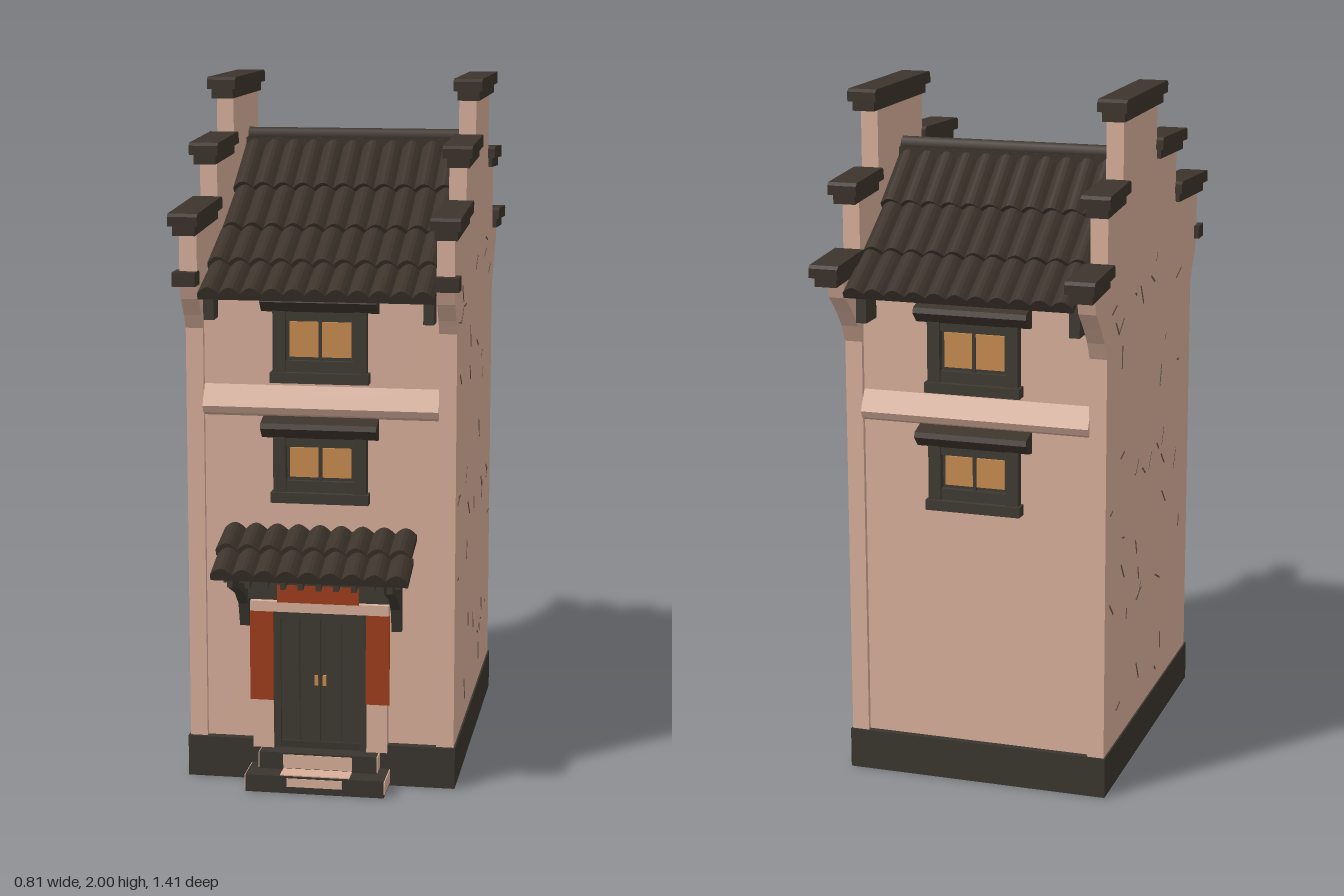
import * as THREE from 'three';

const mat = (name, color, side = THREE.FrontSide) => {
  const m = new THREE.MeshStandardMaterial({ color, side });
  m.name = name;
  return m;
};

export function createModel() {
  const plaster = mat('plaster', 0xd9b09c);
  const tile = mat('roofTile', 0x3d342c);
  const stone = mat('darkStone', 0x3a352e);
  const wood = mat('darkWood', 0x3f3b33);
  const glow = mat('paperPane', 0xc98c50);
  const red = mat('redPaint', 0xa03e1c);
  const crackTone = mat('crack', 0x6e5a4e);

  const house = new THREE.Group();
  house.name = 'townhouse';

  const add = (parent, name, geo, material) => {
    const m = new THREE.Mesh(geo, material);
    m.name = name;
    parent.add(m);
    return m;
  };
  // box given by its extents
  const box = (parent, name, material, x0, x1, y0, y1, z0, z1) => {
    const m = add(parent, name, new THREE.BoxGeometry(x1 - x0, y1 - y0, z1 - z0), material);
    m.position.set((x0 + x1) / 2, (y0 + y1) / 2, (z0 + z1) / 2);
    return m;
  };
  // side profile of [z, y] points, extruded across x from x0 to x1
  const profile = (parent, name, material, pts, x0, x1) => {
    const shape = new THREE.Shape(pts.map(p => new THREE.Vector2(p[0], p[1])));
    const geo = new THREE.ExtrudeGeometry(shape, { depth: x1 - x0, bevelEnabled: false });
    geo.rotateY(-Math.PI / 2).translate(x1, 0, 0);
    return add(parent, name, geo, material);
  };

  // Base and main body
  box(house, 'base', stone, -0.39, 0.39, 0, 0.12, -0.5, 0.49);
  profile(house, 'body', plaster, [
    [-0.48, 0.1], [0.465, 0.1], [0.465, 1.44], [0.25, 1.53], [0.05, 1.63],
    [-0.16, 1.76], [-0.32, 1.63], [-0.48, 1.5],
  ], -0.34, 0.34);

  // Stepped side walls with flared ends
  const wallPts = [
    [0.48, 0.11], [0.48, 1.32], [0.5, 1.36], [0.535, 1.41], [0.55, 1.45], [0.55, 1.61],
    [0.27, 1.61], [0.27, 1.78], [0.03, 1.78], [0.03, 1.95], [-0.34, 1.95], [-0.34, 1.72],
    [-0.495, 1.72], [-0.495, 1.52], [-0.63, 1.51], [-0.61, 1.45], [-0.56, 1.4],
    [-0.52, 1.35], [-0.495, 1.3], [-0.495, 0.11],
  ];
  // caps: z from, z to, height of the underside, tilt
  const caps = [
    [0.26, 0.6, 1.6, 0.05], [0.02, 0.32, 1.77, 0.04], [-0.39, 0.07, 1.937, 0],
    [-0.55, -0.33, 1.705, -0.06], [-0.7, -0.49, 1.5, -0.06],
  ];
  for (const s of [-1, 1]) {
    const side = new THREE.Group();
    side.name = s > 0 ? 'leftWall' : 'rightWall';
    house.add(side);
    const span = (a, b) => (s > 0 ? [a, b] : [-b, -a]);
    profile(side, 'steppedWall', plaster, wallPts, ...span(0.335, 0.385));
    caps.forEach(([z0, z1, y, tilt]) => {
      const cap = new THREE.Group();
      cap.name = 'wallCap';
      cap.position.set(s * 0.364, y, (z0 + z1) / 2);
      cap.rotation.x = tilt;
      side.add(cap);
      const h = (z1 - z0) / 2;
      box(cap, 'capCourse', tile, -0.032, 0.032, 0, 0.03, -h + 0.015, h - 0.015);
      profile(cap, 'capTop', tile, [
        [-h, 0.028], [h, 0.028], [h, 0.055], [h - 0.01, 0.063], [-h + 0.01, 0.063], [-h, 0.055],
      ], -0.042, 0.042);
    });
    box(side, 'frontCornice', tile, ...span(0.335, 0.4), 1.45, 1.49, 0.52, 0.58);
    box(side, 'eaveBracket', wood, ...span(0.295, 0.325), 1.35, 1.44, 0.46, 0.52);
    box(side, 'rearEaveBracket', wood, ...span(0.295, 0.325), 1.37, 1.46, -0.56, -0.47);
  }

  // One course of wavy tiles, running from [z, y] a down to b
  const course = (parent, a, b, half, cols, phase) => {
    const n = cols * 6;
    const shape = new THREE.Shape();
    shape.moveTo(-half, -0.012);
    shape.lineTo(half, -0.012);
    for (let i = n; i >= 0; i--) {
      const wave = Math.abs(Math.sin((i / n) * cols * Math.PI));
      shape.lineTo(-half + (2 * half * i) / n, 0.006 + 0.02 * wave);
    }
    shape.closePath();
    const dz = b[0] - a[0], dy = a[1] - b[1] - 0.012;
    const geo = new THREE.ExtrudeGeometry(shape, {
      depth: Math.hypot(dz, dy) + 0.012, bevelEnabled: false,
    });
    const m = add(parent, 'tileCourse', geo, tile);
    m.position.set(phase, a[1], a[0]);
    m.rotation.x = Math.atan2(dy, dz);
  };
  const slope = (name, pts, half, cols) => {
    const g = new THREE.Group();
    g.name = name;
    house.add(g);
    for (let i = 0; i + 1 < pts.length; i++) {
      course(g, pts[i], pts[i + 1], half, cols, (i % 2 ? 1 : -1) * 0.003);
    }
    return g;
  };
  slope('frontRoof', [[-0.16, 1.79], [0.04, 1.665], [0.23, 1.565], [0.41, 1.485], [0.575, 1.42]], 0.33, 11);
  slope('backRoof', [[0.16, 1.79], [0.32, 1.66], [0.48, 1.55], [0.625, 1.46]], 0.33, 11).rotation.y = Math.PI;
  box(house, 'ridgeBase', tile, -0.33, 0.33, 1.76, 1.81, -0.185, -0.135);
  const ridge = add(house, 'ridgeRoll', new THREE.CylinderGeometry(0.024, 0.024, 0.65, 8), tile);
  ridge.rotation.z = Math.PI / 2;
  ridge.position.set(0, 1.815, -0.16);

  // Windows and plaster ledge, on both the front and the back
  const windowUnit = (parent, y, height) => {
    const w = new THREE.Group();
    w.name = 'window';
    w.position.y = y;
    parent.add(w);
    box(w, 'backing', wood, -0.11, 0.11, 0.02, height, 0, 0.008);
    for (const s of [-1, 1]) {
      box(w, 'jamb', wood, s * 0.115 - 0.018, s * 0.115 + 0.018, 0, height, 0, 0.032);
      box(w, 'pane', glow, s * 0.046 - 0.042, s * 0.046 + 0.042, 0.06, height - 0.04, 0.007, 0.014);
    }
    box(w, 'mullion', wood, -0.005, 0.005, 0.03, height - 0.02, 0, 0.018);
    box(w, 'lowerRail', wood, -0.1, 0.1, 0.015, 0.05, 0, 0.024);
    box(w, 'upperRail', wood, -0.1, 0.1, height - 0.035, height, 0, 0.024);
    box(w, 'sill', wood, -0.14, 0.14, -0.012, 0.018, 0, 0.04);
    profile(w, 'hood', tile, [
      [0, height - 0.015], [0.03, height - 0.01], [0.06, height + 0.02],
      [0.055, height + 0.035], [0, height + 0.05],
    ], -0.165, 0.165);
  };
  for (const s of [1, -1]) {
    const face = new THREE.Group();
    face.name = s > 0 ? 'frontFacade' : 'backFacade';
    face.position.z = s > 0 ? 0.465 : -0.48;
    face.rotation.y = s > 0 ? 0 : Math.PI;
    house.add(face);
    windowUnit(face, 1.185, 0.2);
    windowUnit(face, 0.84, 0.185);
    profile(face, 'ledge', plaster, [[0, 1.07], [0.02, 1.08], [0.03, 1.1], [0, 1.16]], -0.336, 0.336);
  }

  // Entrance: door, posts, lintel and steps
  const entry = new THREE.Group();
  entry.name = 'entrance';
  house.add(entry);
  for (let i = 0; i < 4; i++) {
    const x = -0.12 + i * 0.06;
    box(entry, 'doorPlank', wood, x + 0.002, x + 0.058, 0.1, 0.5, 0.46, 0.482 + (i % 2) * 0.004);
  }
  box(entry, 'doorBacking', stone, -0.13, 0.13, 0.1, 0.51, 0.46, 0.476);
  for (const s of [-1, 1]) {
    box(entry, 'doorHandle', glow, s * 0.012 - 0.005, s * 0.012 + 0.005, 0.29, 0.32, 0.48, 0.493);
    box(entry, 'doorJamb', wood, s * 0.125 - 0.01, s * 0.125 + 0.01, 0.1, 0.51, 0.46, 0.495);
    box(entry, 'post', plaster, s * 0.165 - 0.03, s * 0.165 + 0.03, 0.1, 0.52, 0.46, 0.5);
    box(entry, 'redPanel', red, s * 0.168 - 0.034, s * 0.168 + 0.034, 0.245, 0.51, 0.497, 0.506);
    profile(entry, 'awningBracket', wood, [
      [0.46, 0.46], [0.49, 0.46], [0.51, 0.53], [0.56, 0.575], [0.64, 0.61], [0.66, 0.65], [0.46, 0.69],
    ], s * 0.22 - 0.014, s * 0.22 + 0.014);
  }
  box(entry, 'doorHead', wood, -0.13, 0.13, 0.49, 0.51, 0.46, 0.5);
  box(entry, 'lintel', plaster, -0.2, 0.2, 0.51, 0.54, 0.46, 0.51);
  box(entry, 'beam', wood, -0.22, 0.22, 0.545, 0.6, 0.46, 0.51);
  box(entry, 'redPlaque', red, -0.12, 0.115, 0.54, 0.605, 0.508, 0.517);
  box(entry, 'upperLintel', plaster, -0.21, 0.21, 0.6, 0.63, 0.46, 0.5);
  box(entry, 'eaveBeam', wood, -0.25, 0.25, 0.625, 0.645, 0.61, 0.635);
  for (let i = 0; i < 10; i++) {
    const x = -0.225 + i * 0.05;
    profile(entry, 'rafter', wood, [[0.46, 0.7], [0.46, 0.725], [0.67, 0.645], [0.67, 0.62]].reverse(), x - 0.008, x + 0.008);
  }
  slope('awning', [[0.465, 0.735], [0.585, 0.695], [0.69, 0.65]], 0.277, 9);

  // Steps with worn pale patches
  box(entry, 'lowerStep', stone, -0.2, 0.2, 0, 0.05, 0.48, 0.6);
  box(entry, 'upperStep', stone, -0.17, 0.17, 0.05, 0.1, 0.48, 0.54);
  box(entry, 'wornTread', plaster, -0.1, 0.1, 0.048, 0.053, 0.54, 0.595);
  box(entry, 'wornRiser', plaster, -0.1, 0.1, 0.055, 0.095, 0.537, 0.543);
  box(entry, 'wornEdge', plaster, -0.08, 0.08, 0.02, 0.045, 0.597, 0.602);
  for (const s of [-1, 1]) {
    box(entry, 'lowerStepEnd', plaster, s * 0.2 - 0.003, s * 0.2 + 0.003, 0.01, 0.048, 0.49, 0.598);
    box(entry, 'upperStepEnd', plaster, s * 0.17 - 0.003, s * 0.17 + 0.003, 0.052, 0.098, 0.49, 0.538);
  }

  // Fine cracks scattered over the side walls
  let seed = 7;
  const rnd = () => (seed = (seed * 16807) % 2147483647) / 2147483647;
  for (const s of [-1, 1]) {
    for (let i = 0; i < 36; i++) {
      const c = add(house, 'crack', new THREE.BoxGeometry(0.004, 0.005, 0.02 + rnd() * 0.05), crackTone);
      c.position.set(s * 0.385, 0.18 + rnd() * 1.35, -0.44 + rnd() * 0.86);
      c.rotation.x = rnd() * Math.PI;
    }
  }
  return house;
}
